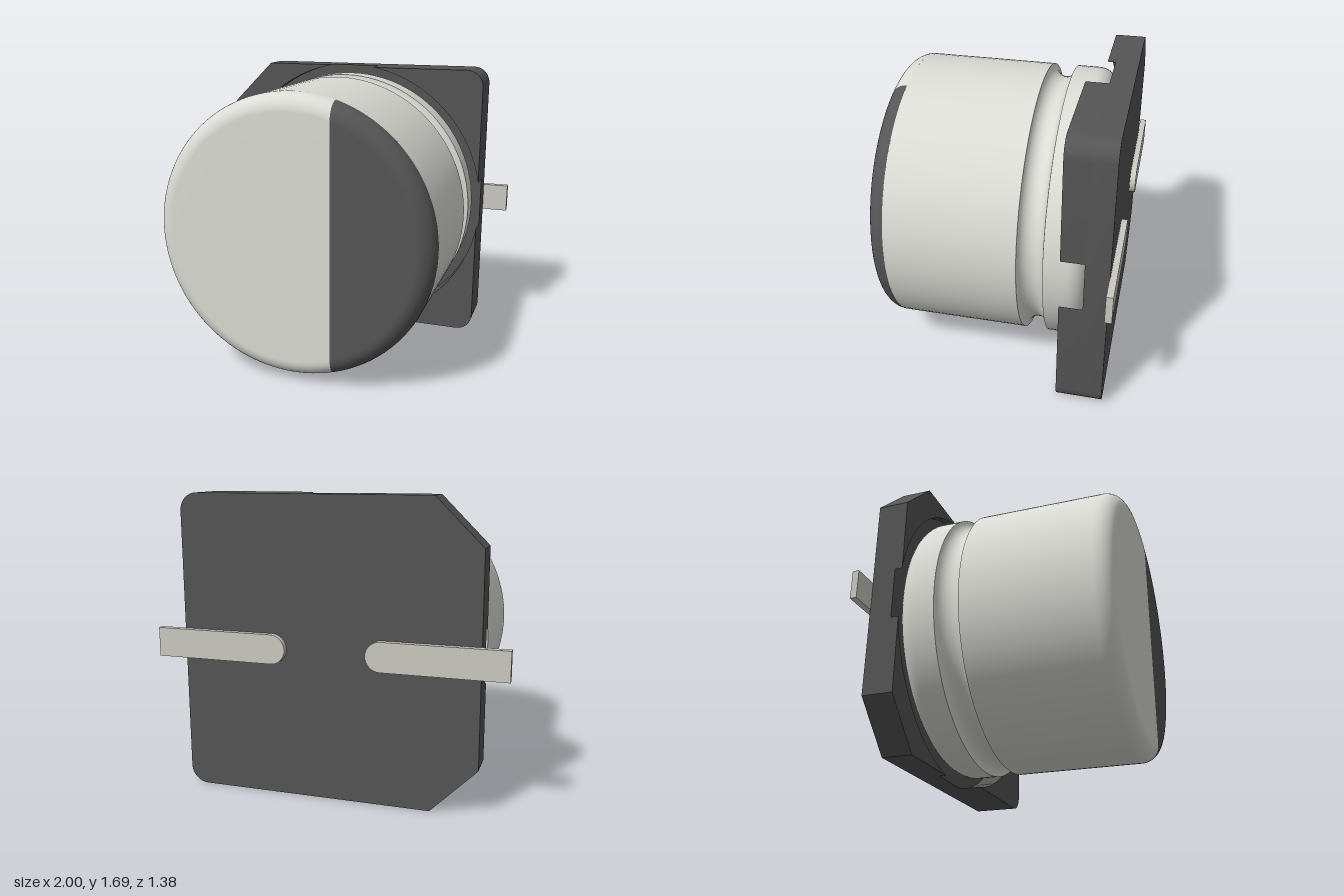
import * as THREE from 'three';
import { toCreasedNormals } from 'three/addons/utils/BufferGeometryUtils.js';

const H = 0.847;       // half size of the square base
const R = 0.806;       // can radius
const FILLET = 0.1;
const MARK_X = 0.24;   // edge of the polarity mark
const V = (x, y) => new THREE.Vector2(x, y);

const canMat = new THREE.MeshStandardMaterial({ color: 0xdcdcd6 });
const darkMat = new THREE.MeshStandardMaterial({ color: 0x555555 });
const leadMat = new THREE.MeshStandardMaterial({ color: 0xcccac2 });

function mesh(name, geometry, material) {
  const m = new THREE.Mesh(geometry, material);
  m.name = name;
  return m;
}

function arc(cx, cy, r, a0, a1, n) {
  return Array.from({ length: n + 1 }, (_, i) => {
    const a = a0 + (a1 - a0) * i / n;
    return V(cx + r * Math.cos(a), cy + r * Math.sin(a));
  });
}

function slab(points, z0, z1) {
  const g = new THREE.ExtrudeGeometry(new THREE.Shape(points), { depth: z1 - z0, bevelEnabled: false });
  return toCreasedNormals(g.translate(0, 0, z0), 0.5);
}

// Outer corner of the base: rounded on +x, chamfered on -x
function cornerPoints(sx, sy) {
  const pts = sx > 0
    ? arc(H - 0.1, H - 0.1, 0.1, 0, Math.PI / 2, 8)
    : [V(H, H - 0.26), V(H - 0.26, H)];
  return pts.map(p => V(p.x * sx, p.y * sy));
}

// Front cap in polar rings, split along x = MARK_X
function capGeometry(isMark) {
  const rings = [0.24, 0.245, 0.26, 0.3, 0.4, 0.55].map(r => V(r, 0.69));
  if (!isMark) rings.unshift(V(0, 0.69));
  rings.push(...arc(R - FILLET, 0.69 - FILLET, FILLET, Math.PI / 2, 0, 10));
  const n = 96, pos = [], idx = [];
  rings.forEach(({ x: r, y: z }, i) => {
    const half = r > MARK_X ? Math.acos(MARK_X / r) : 0;
    const a0 = isMark ? -half : half;
    const a1 = isMark ? half : 2 * Math.PI - half;
    for (let j = 0; j <= n; j++) {
      const a = a0 + (a1 - a0) * j / n;
      pos.push(r * Math.cos(a), r * Math.sin(a), z);
      if (i && j) {
        const d = i * (n + 1) + j, b = d - n - 1;
        idx.push(b - 1, d - 1, d, b - 1, d, b);
      }
    }
  });
  const g = new THREE.BufferGeometry();
  g.setAttribute('position', new THREE.Float32BufferAttribute(pos, 3));
  g.setIndex(idx);
  g.computeVertexNormals();
  return g;
}

export function createModel() {
  const model = new THREE.Group();
  model.name = 'capacitor';

  // Can side: rounded rear edge, crimp groove, straight wall
  const profile = [
    V(0, -0.525),
    ...arc(R - FILLET, -0.425, FILLET, -Math.PI / 2, 0, 8),
    V(R, -0.3),
    ...arc(R, -0.225, 0.072, -Math.PI / 2, -Math.PI * 1.5, 14),
    V(R, -0.15),
    V(R, 0.69 - FILLET),
  ];
  const side = new THREE.LatheGeometry(profile, 96).rotateX(Math.PI / 2);
  model.add(mesh('canBody', toCreasedNormals(side, 0.5), canMat));
  model.add(mesh('canCap', capGeometry(false), canMat));
  model.add(mesh('polarityMark', capGeometry(true), darkMat));

  // Base floor with four raised corners around the round recess
  const base = new THREE.Group();
  base.name = 'base';
  const outline = [];
  const recess = 0.86;
  const a = Math.acos(H / recess);
  for (const [sx, sy] of [[1, 1], [-1, 1], [-1, -1], [1, -1]]) {
    const corner = cornerPoints(sx, sy);
    outline.push(...(sx * sy > 0 ? corner : corner.slice().reverse()));
    const inner = arc(0, 0, recess, Math.PI / 2 - a, a, 24).map(p => V(p.x * sx, p.y * sy));
    base.add(mesh('baseCorner', slab([...corner, ...inner], -0.525, sx > 0 ? -0.395 : -0.48), darkMat));
  }
  base.add(mesh('baseFloor', slab(outline, -0.658, -0.525), darkMat));
  model.add(base);

  // Flat leads with rounded inner ends
  for (const s of [1, -1]) {
    const pts = [V(1, -0.083), V(1, 0.083), ...arc(0.313, 0, 0.083, Math.PI / 2, Math.PI * 1.5, 16)];
    model.add(mesh(s > 0 ? 'leftLead' : 'rightLead', slab(pts.map(p => V(p.x * s, p.y)), -0.693, -0.655), leadMat));
  }

  // Raise every part so the base stands on the ground
  for (const part of model.children) part.position.y = H;
  return model;
}
